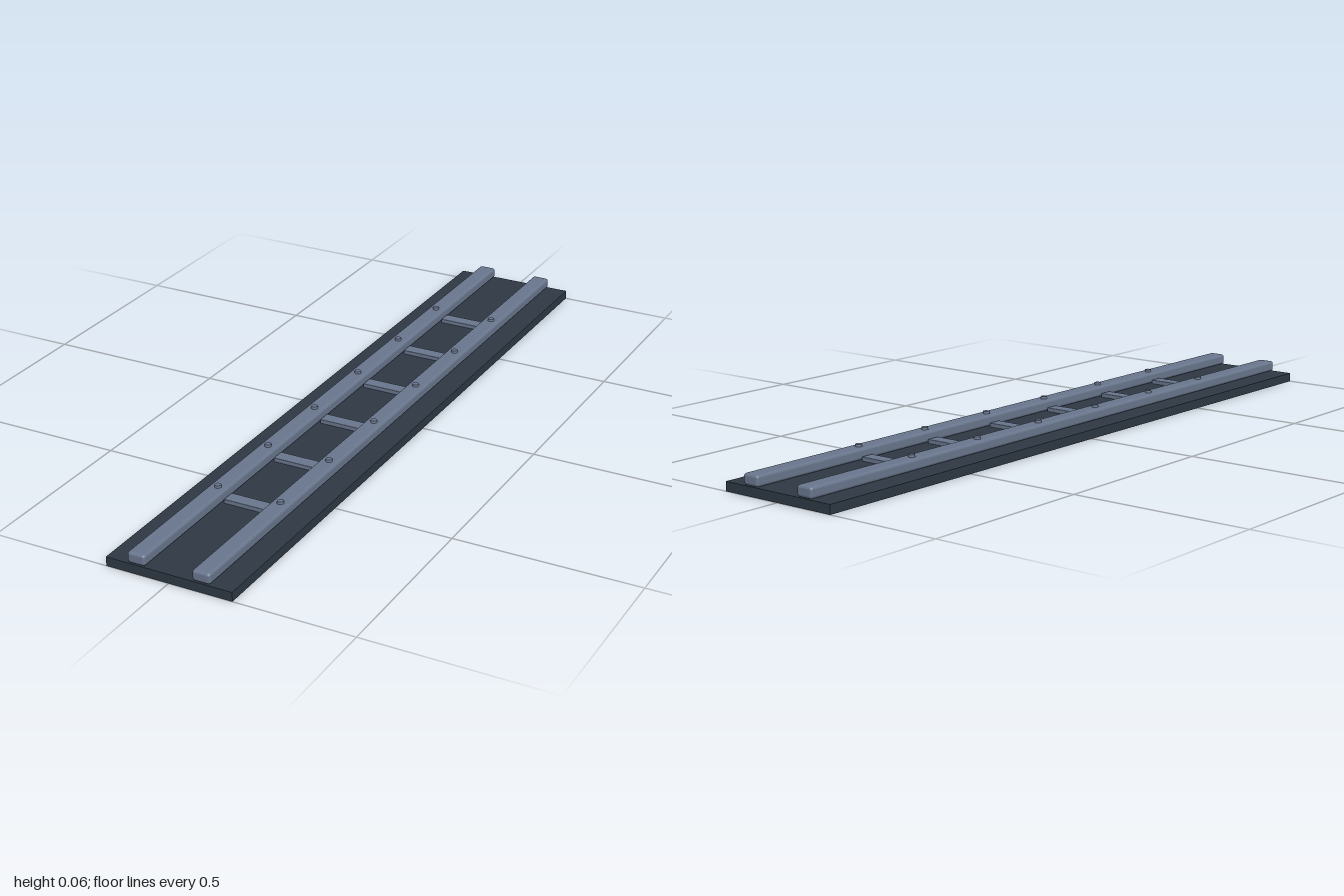
import * as THREE from 'three';
import { RoundedBoxGeometry } from 'three/addons/geometries/RoundedBoxGeometry.js';

export function createModel() {
  const group = new THREE.Group();
  const darkBase = new THREE.MeshStandardMaterial({ color: 0x2d3743 });
  darkBase.name = 'darkBase';
  const slateMetal = new THREE.MeshStandardMaterial({ color: 0x68758c });
  slateMetal.name = 'slateMetal';

  const add = (name, geometry, material, x, y, z) => {
    const mesh = new THREE.Mesh(geometry, material);
    mesh.name = name;
    mesh.position.set(x, y, z);
    group.add(mesh);
  };

  // Flat bed
  add('base', new THREE.BoxGeometry(0.35, 0.025, 2), darkBase, 0, 0.0125, 0);

  // Two rounded rails along the full length
  const railGeometry = new RoundedBoxGeometry(0.05, 0.03, 2, 3, 0.008);
  for (const side of [-1, 1]) {
    add(side > 0 ? 'leftRail' : 'rightRail', railGeometry, slateMetal, side * 0.09, 0.0405, 0);
  }

  // Cross ties between the rails, each with a bolt on either rail
  const tieGeometry = new RoundedBoxGeometry(0.125, 0.016, 0.038, 2, 0.002);
  const boltGeometry = new THREE.CylinderGeometry(0.0085, 0.01, 0.01, 12);
  for (let i = 0; i < 6; i++) {
    const z = -0.625 + i * 0.25;
    add('crossTie', tieGeometry, slateMetal, 0, 0.028, z);
    for (const side of [-1, 1]) {
      add('railBolt', boltGeometry, slateMetal, side * 0.09, 0.057, z);
    }
  }
  return group;
}
